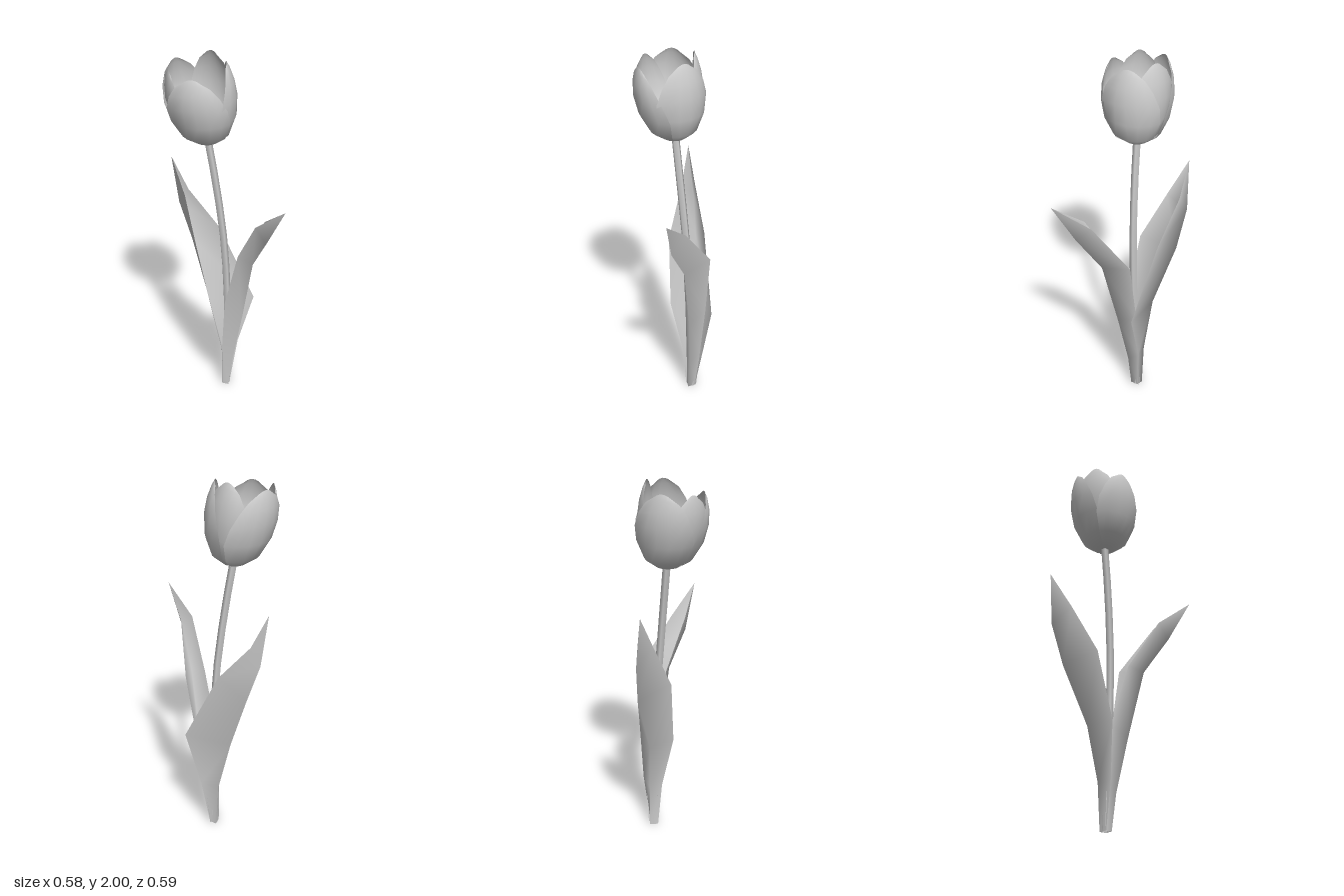
import * as THREE from 'three';

const material = new THREE.MeshStandardMaterial({ color: 0xcccccc, side: THREE.DoubleSide });

// Smooth open surface lofted through equal-length rows of [x, y, z] points
function loft(name, rows) {
  const n = rows[0].length, index = [];
  for (let i = 0; i < rows.length - 1; i++) {
    for (let j = 0; j < n - 1; j++) {
      const a = i * n + j, b = a + n;
      index.push(a, b, a + 1, a + 1, b, b + 1);
    }
  }
  const g = new THREE.BufferGeometry();
  g.setAttribute('position', new THREE.Float32BufferAttribute(rows.flat(2), 3));
  g.setIndex(index);
  g.computeVertexNormals();
  const mesh = new THREE.Mesh(g, material);
  mesh.name = name;
  return mesh;
}

// Petal: a patch of the cup. Each profile step is [height, radius, half angle in degrees]
const profile = [[0, 0.012, 62], [0.004, 0.06, 62], [0.05, 0.122, 62], [0.15, 0.168, 63],
  [0.26, 0.184, 56], [0.34, 0.178, 45], [0.4, 0.163, 32], [0.43, 0.15, 17]];

function petal(name, azimuth, tipY, scale, spread) {
  const base = 1.552, stretch = (tipY - base) / 0.43, columns = 6;
  const rows = profile.map(([h, r, half]) => {
    const y = base + h * stretch;
    const cx = -0.07 - 0.12 * h, cz = -0.052 + 0.025 * h;
    return Array.from({ length: columns + 1 }, (_, j) => {
      const s = j / columns * 2 - 1;
      const a = THREE.MathUtils.degToRad(azimuth + s * half * spread);
      // the rim dips a little toward the sides
      const dip = h > 0.2 ? 0.02 * s * s : 0;
      return [cx + r * scale * Math.cos(a), y - dip, cz + r * scale * Math.sin(a)];
    });
  });
  return loft(name, rows);
}

export function createModel() {
  const model = new THREE.Group();
  model.name = 'tulip';

  // Curved five-sided stem
  const path = new THREE.CatmullRomCurve3([
    [0.035, 0, -0.09], [0.04, 0.5, -0.078], [0.018, 0.95, -0.062],
    [-0.025, 1.3, -0.055], [-0.07, 1.58, -0.055],
  ].map(p => new THREE.Vector3(...p)));
  const stem = new THREE.Mesh(new THREE.TubeGeometry(path, 8, 0.021, 5), material);
  stem.name = 'stem';
  model.add(stem);

  // Cup of three outer petals with two inner ones behind the gaps
  const flower = new THREE.Group();
  flower.name = 'flower';
  flower.add(
    petal('frontPetal', 104, 1.94, 1, 1),
    petal('leftPetal', 4, 1.98, 1, 0.98),
    petal('backRightPetal', 230, 1.965, 1, 1.03),
    petal('innerBackPetal', 308, 2.0, 0.93, 0.9),
    petal('innerRightPetal', 168, 1.955, 0.95, 0.8),
  );
  model.add(flower);

  // Folded leaves: each row is edge, keel, edge, rising to a pointed tip
  const tipRow = p => [p, p, p];
  model.add(loft('frontLeaf', [
    [[0.01, 0, -0.08], [0.045, 0, -0.062], [0.057, 0, -0.11]],
    [[0.01, 0.25, -0.075], [0.07, 0.2, -0.05], [0.082, 0.25, -0.115]],
    [[0.022, 0.56, -0.055], [0.115, 0.5, -0.005], [0.128, 0.56, -0.11]],
    [[0.085, 0.9, 0.015], [0.16, 0.88, 0.07], [0.183, 0.92, -0.09]],
    [[0.157, 1.155, 0.164], [0.21, 1.07, 0.196], [0.214, 1.155, 0.107]],
    tipRow([0.29, 1.3, 0.293]),
  ]));
  model.add(loft('backLeaf', [
    [[0.01, 0, -0.075], [0.025, 0, -0.12], [0.057, 0, -0.1]],
    [[0.008, 0.25, -0.05], [0.01, 0.25, -0.125], [0.105, 0.27, -0.118]],
    [[-0.053, 0.55, -0.01], [-0.055, 0.54, -0.155], [0.19, 0.57, -0.1]],
    [[-0.128, 0.92, -0.06], [-0.138, 0.87, -0.26], [0.01, 0.97, -0.195]],
    [[-0.18, 1.18, -0.19], [-0.205, 1.09, -0.297], [-0.155, 1.18, -0.265]],
    tipRow([-0.243, 1.37, -0.29]),
  ]));
  return model;
}
